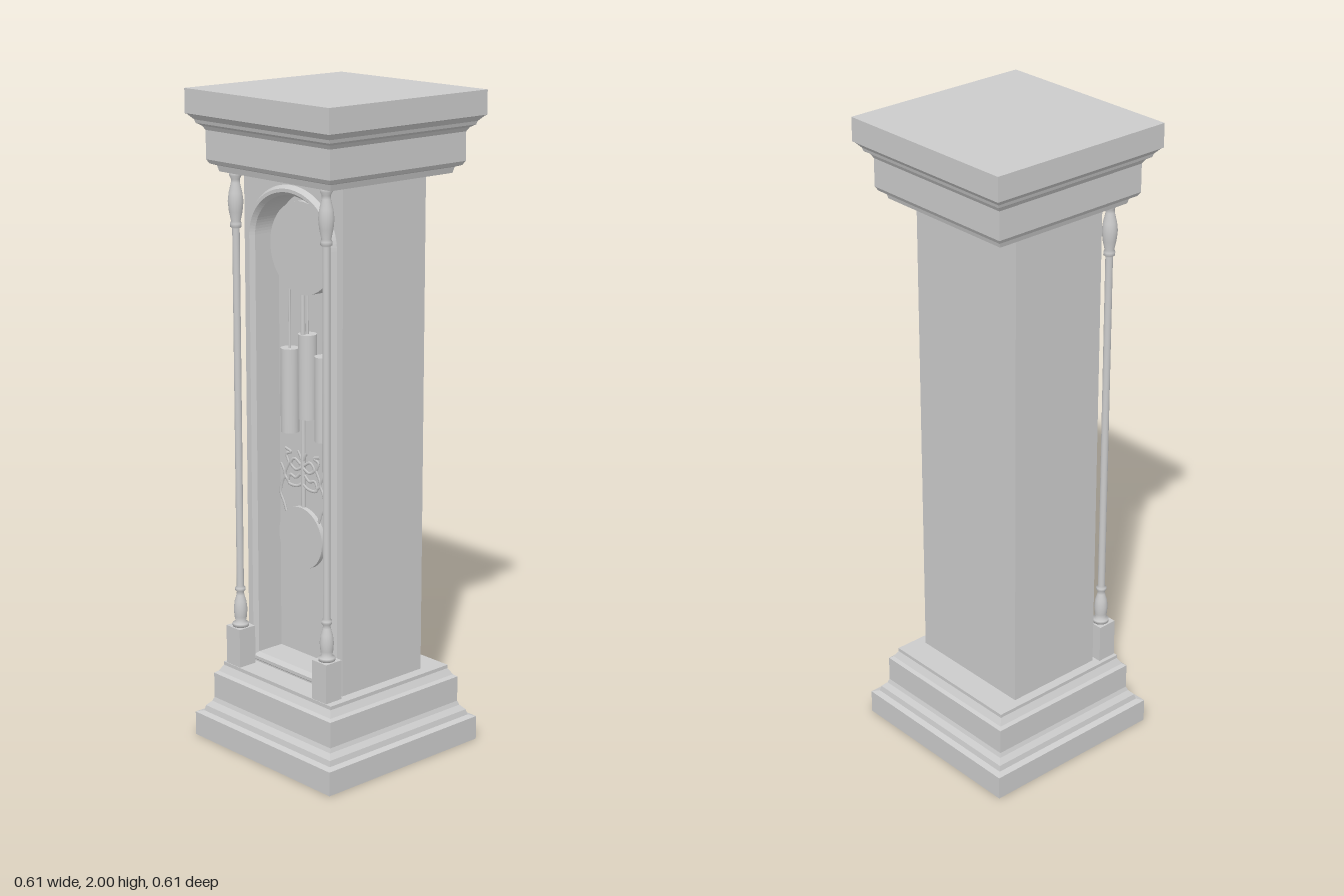
import * as THREE from 'three';

export function createModel() {
  const root = new THREE.Group();
  root.name = 'longcaseClock';
  const flat = new THREE.MeshStandardMaterial({ color: 0xcccccc, flatShading: true });
  const smooth = new THREE.MeshStandardMaterial({ color: 0xcccccc });

  const add = (name, geometry, x = 0, y = 0, z = 0, material = smooth, parent = root) => {
    const mesh = new THREE.Mesh(geometry, material);
    mesh.name = name;
    mesh.position.set(x, y, z);
    parent.add(mesh);
    return mesh;
  };
  const points = list => list.map(([x, y]) => new THREE.Vector2(x, y));

  // Square mouldings: a profile of [half width, height] swept round four sides
  const squareMoulding = (name, profile) => {
    const pts = profile.map(([r, y]) => new THREE.Vector2(r * Math.SQRT2, y));
    add(name, new THREE.LatheGeometry(pts, 4, Math.PI / 4), 0, 0, 0, flat);
  };
  squareMoulding('base', [
    [0, 0], [0.307, 0], [0.307, 0.075], [0.288, 0.08], [0.284, 0.097], [0.27, 0.112],
    [0.265, 0.125], [0.265, 0.205], [0.255, 0.212], [0.243, 0.232], [0.243, 0.243], [0, 0.243],
  ]);
  squareMoulding('cornice', [
    [0, 1.76], [0.238, 1.76], [0.243, 1.778], [0.258, 1.783], [0.265, 1.795], [0.265, 1.88],
    [0.272, 1.892], [0.285, 1.9], [0.288, 1.91], [0.302, 1.925], [0.307, 1.928], [0.307, 2], [0, 2],
  ]);

  // Case: solid back, and a front wall with an arched opening
  const left = -0.214, right = 0.209, bottom = 0.24, top = 1.765;
  const midX = (left + right) / 2;
  add('caseBack', new THREE.BoxGeometry(right - left, top - bottom, 0.235),
    midX, (top + bottom) / 2, -0.0425, flat);

  // Arched outline, grown outwards by g
  const archPath = (PathType, g) => {
    const path = new PathType();
    const cx = -0.005, w = 0.161 + g, low = 0.278 - g;
    path.moveTo(cx - w, low);
    path.lineTo(cx + w, low);
    path.lineTo(cx + w, 1.575);
    path.absellipse(cx, 1.575, w, 0.135 + g, 0, Math.PI, false);
    path.closePath();
    return path;
  };
  const wall = new THREE.Shape(points([[left, bottom], [right, bottom], [right, top], [left, top]]));
  wall.holes.push(archPath(THREE.Path, 0));
  add('caseFront', new THREE.ExtrudeGeometry(wall, { depth: 0.09, bevelEnabled: false, curveSegments: 24 }),
    0, 0, 0.075, smooth);

  // Bevelled trim around the opening
  const trim = archPath(THREE.Shape, 0.02);
  trim.holes.push(archPath(THREE.Path, 0.01));
  add('doorTrim', new THREE.ExtrudeGeometry(trim, {
    depth: 0.002, bevelThickness: 0.014, bevelSize: 0.01, bevelSegments: 1, curveSegments: 24,
  }), 0, 0, 0.164, smooth);

  // Turned columns on square blocks
  const columnProfile = points([
    [0, 0.365], [0.025, 0.365], [0.025, 0.375], [0.016, 0.38], [0.019, 0.395], [0.021, 0.42],
    [0.018, 0.445], [0.012, 0.465], [0.011, 0.475], [0.016, 0.48], [0.016, 0.488], [0.011, 0.494],
    [0.011, 1.595], [0.017, 1.6], [0.017, 1.61], [0.014, 1.617], [0.02, 1.645], [0.023, 1.675],
    [0.02, 1.7], [0.013, 1.73], [0.013, 1.74], [0.018, 1.75], [0.018, 1.762], [0, 1.762],
  ]);
  for (const [side, x] of [['right', -0.2], ['left', 0.19]]) {
    const column = new THREE.Group();
    column.name = side + 'Column';
    column.position.set(x, 0, 0.21);
    root.add(column);
    add('columnBlock', new THREE.BoxGeometry(0.062, 0.125, 0.062), 0, 0.3025, 0, flat, column);
    add('turnedShaft', new THREE.LatheGeometry(columnProfile, 16), 0, 0, 0, smooth, column);
  }

  // Upright rod and forward-facing disc helpers
  const rod = (name, r, y0, y1, x, z) =>
    add(name, new THREE.CylinderGeometry(r, r, y1 - y0, 20), x, (y0 + y1) / 2, z);
  const disc = (name, r, depth, x, y, z) =>
    add(name, new THREE.CylinderGeometry(r, r, depth, 48).rotateX(Math.PI / 2), x, y, z);

  // Dial, weights and their cables
  disc('dial', 0.136, 0.06, 0.013, 1.557, 0.115);
  for (const [x, y0] of [[-0.074, 0.99], [0.004, 1.045], [0.075, 0.99]]) {
    rod('weight', 0.028, y0, y0 + 0.255, x, 0.115);
    rod('weightCable', 0.004, y0 + 0.25, 1.5, x, 0.115);
  }

  // Pendulum with bob
  rod('pendulumRod', 0.007, 0.72, 1.45, 0.001, 0.13);
  disc('pendulumBob', 0.095, 0.015, 0, 0.68, 0.135);

  // Scrollwork above the bob: thin mirrored strips
  const scrolls = [
    [[0.07, 0.74], [0.082, 0.77], [0.098, 0.8], [0.09, 0.835], [0.078, 0.86], [0.09, 0.885], [0.095, 0.892]],
    [[0.004, 0.845], [0.025, 0.835], [0.062, 0.838], [0.055, 0.865], [0.03, 0.86], [0.01, 0.875]],
    [[0.004, 0.895], [0.03, 0.885], [0.052, 0.9], [0.035, 0.918], [0.008, 0.905]],
    [[0.06, 0.9], [0.07, 0.925], [0.05, 0.935], [0.075, 0.943]],
    [[0.004, 0.92], [0.012, 0.935], [0.02, 0.945]],
    [[0.06, 0.84], [0.078, 0.86], [0.06, 0.9]],
  ];
  for (const side of [-1, 1]) {
    for (const scroll of scrolls) {
      const curve = new THREE.CatmullRomCurve3(scroll.map(([x, y]) => new THREE.Vector3(side * x, y, 0)));
      const strip = add('scrollwork', new THREE.TubeGeometry(curve, 24, 0.005, 6), 0, 0, 0.133);
      strip.scale.z = 0.6;
    }
  }
  return root;
}
